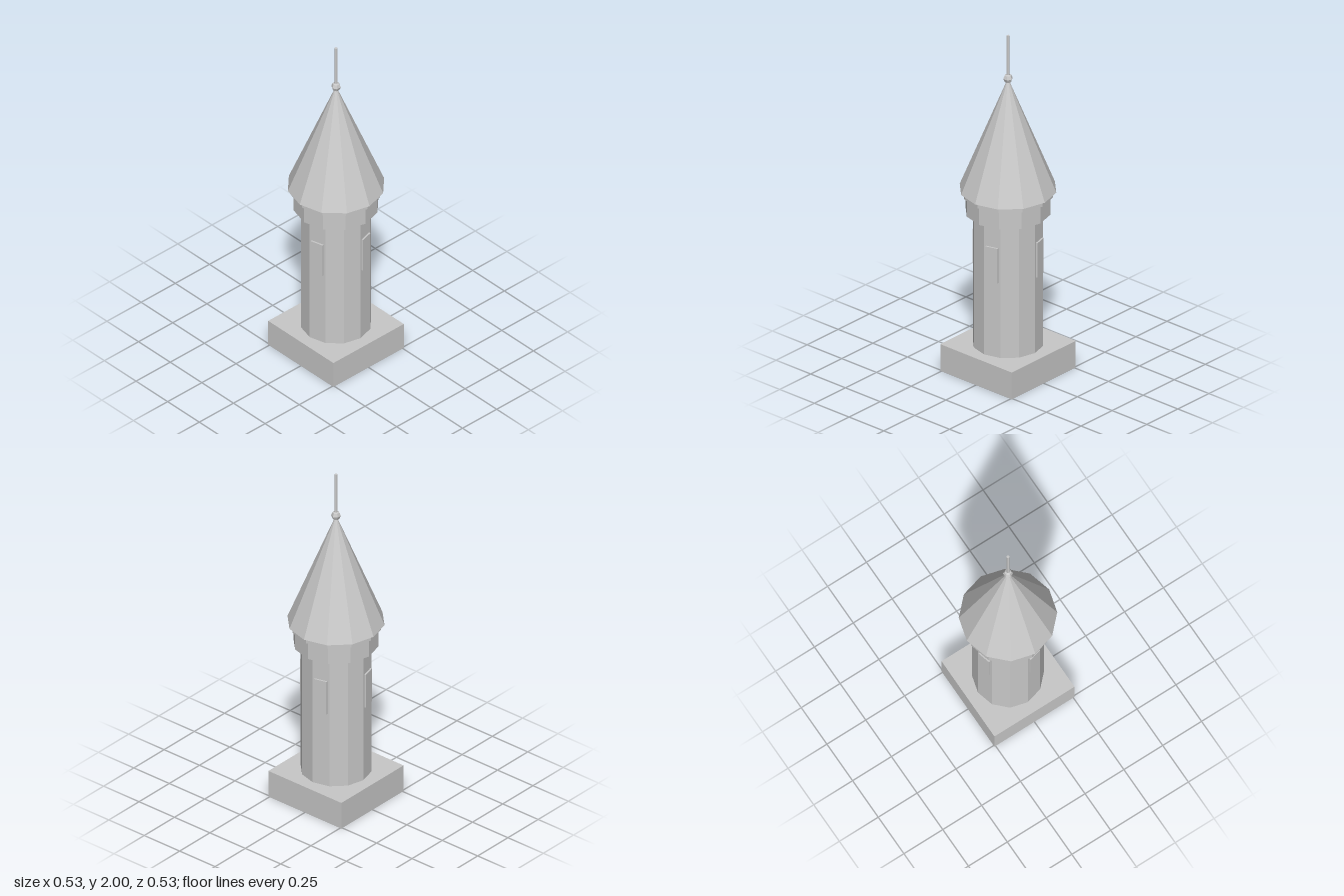
import * as THREE from 'three';

const stone = new THREE.MeshStandardMaterial({ color: 0xc8c8c8 });
stone.name = 'pale grey stone';

export function createModel() {
  const tower = new THREE.Group();
  tower.name = 'tower';

  const add = (name, geometry, y) => {
    // unshared vertices give crisp low-poly facets
    const geo = geometry.index ? geometry.toNonIndexed() : geometry;
    geo.computeVertexNormals();
    const mesh = new THREE.Mesh(geo, stone);
    mesh.name = name;
    mesh.position.y = y;
    tower.add(mesh);
    return mesh;
  };

  // Faceted drum or cone between two heights
  const drum = (name, y0, y1, rBottom, rTop = rBottom, sides = 12) =>
    add(name, new THREE.CylinderGeometry(rTop, rBottom, y1 - y0, sides), (y0 + y1) / 2);

  // Square plinth and twelve-sided shaft
  add('plinth', new THREE.BoxGeometry(0.515, 0.16, 0.515), 0.08);
  drum('shaft', 0.16, 0.95, 0.193);

  // Stepped collar under the roof
  drum('lowerCollar', 0.95, 1.055, 0.233);
  drum('upperCollar', 1.055, 1.085, 0.247);

  // Pointed roof, finial ball and spire rod
  drum('roof', 1.085, 1.745, 0.265, 0);
  add('finialBall', new THREE.SphereGeometry(0.027, 6, 4), 1.743);
  drum('spireRod', 1.75, 2, 0.009, 0.009, 6).rotation.y = Math.PI / 6;

  // Four window panels, each flat on a shaft facet
  for (let i = 0; i < 4; i++) {
    const angle = Math.PI / 12 + (i * Math.PI) / 2;
    const panel = add('windowPanel', new THREE.BoxGeometry(0.075, 0.205, 0.02), 0.712);
    panel.position.x = Math.sin(angle) * 0.186;
    panel.position.z = Math.cos(angle) * 0.186;
    panel.rotation.y = angle;
  }

  return tower;
}
